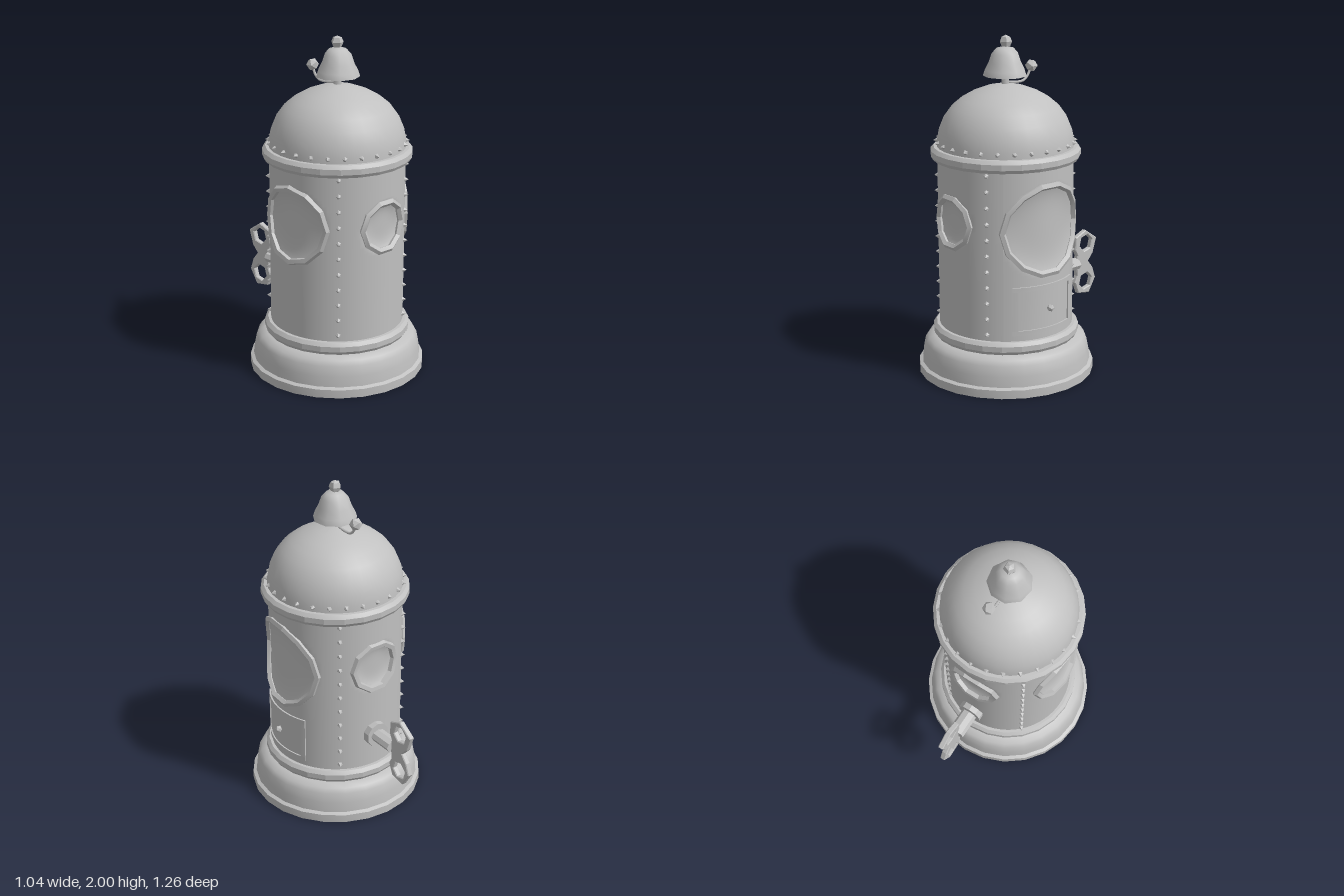
import * as THREE from 'three';
import { mergeGeometries, toCreasedNormals } from 'three/addons/utils/BufferGeometryUtils.js';

const R = 0.395;          // body radius
const CZ = 0.112;         // body axis in z
const metal = new THREE.MeshStandardMaterial({ color: 0xc0c0c0 });
metal.name = 'grey metal';

// angle is measured from the front (+z) towards +x
const onWall = (a, y, r) => new THREE.Vector3(r * Math.sin(a), y, r * Math.cos(a));

// round portholes: angle, height, radius, number of frame sides
const windows = [
  { name: 'frontWindowFrame', a: -0.076, y: 0.965, r: 0.147, n: 10 },
  { name: 'leftWindowFrame', a: Math.PI / 2 - 0.06, y: 0.94, r: 0.262, n: 14 },
  { name: 'rightWindowFrame', a: -Math.PI / 2, y: 0.97, r: 0.22, n: 12 },
  { name: 'backWindowFrame', a: Math.PI, y: 0.97, r: 0.147, n: 10 },
];

function lathe(points, sides, crease = 0.6) {
  const g = new THREE.LatheGeometry(points.map(p => new THREE.Vector2(...p)), sides);
  return toCreasedNormals(g, crease);
}

// wall with a shallow dish pressed in at every porthole
function wallGeometry() {
  const g = new THREE.CylinderGeometry(R, R, 1.1, 96, 64, true, 0.8);
  const p = g.attributes.position;
  for (let i = 0; i < p.count; i++) {
    const a = Math.atan2(p.getX(i), p.getZ(i)), y = p.getY(i) + 0.79;
    let r = R;
    for (const w of windows) {
      if (Math.cos(a - w.a) < 0) continue;
      const d = Math.hypot(R * Math.sin(a - w.a), y - w.y) / w.r;
      if (d < 1) r = R - 0.028 * (1 - d ** 4);
    }
    const v = onWall(a, y, r);
    p.setXYZ(i, v.x, v.y, v.z);
  }
  g.computeVertexNormals();
  return g;
}

// faceted ring that follows the curve of the wall
function frameGeometry(w) {
  const pts = [];
  for (let i = 0; i < w.n; i++) {
    const t = (i / w.n) * Math.PI * 2;
    pts.push(onWall(w.a + Math.asin(w.r * Math.cos(t) / R), w.y + w.r * Math.sin(t), R + 0.002));
  }
  const curve = new THREE.CatmullRomCurve3(pts, true);
  return toCreasedNormals(new THREE.TubeGeometry(curve, w.n, 0.021, 5, true), 0.4);
}

// small pointed rivets facing outwards
function rivetGeometry(spots) {
  const up = new THREE.Vector3(0, 1, 0);
  return mergeGeometries(spots.map(([a, y, r]) => {
    const q = new THREE.Quaternion().setFromUnitVectors(up, onWall(a, 0, 1));
    const m = new THREE.Matrix4().compose(onWall(a, y, r), q, new THREE.Vector3(1, 1, 1));
    return toCreasedNormals(new THREE.ConeGeometry(0.02, 0.03, 5), 0.3).applyMatrix4(m);
  }));
}

// bar bent around the wall
function bentBar(a0, a1, y0, y1, r0, r1) {
  const g = new THREE.BoxGeometry(1, 1, 1, 8, 1, 1);
  const p = g.attributes.position;
  for (let i = 0; i < p.count; i++) {
    const v = onWall(a0 + (a1 - a0) * (p.getX(i) + 0.5),
      y0 + (y1 - y0) * (p.getY(i) + 0.5), r0 + (r1 - r0) * (p.getZ(i) + 0.5));
    p.setXYZ(i, v.x, v.y, v.z);
  }
  return toCreasedNormals(g, 0.6);
}

// two hexagonal loops joined at a waist, drawn with u along the shaft and v up
function keyBowGeometry() {
  const s = new THREE.Shape([
    [0, -0.03], [0.005, -0.08], [-0.015, -0.12], [0.015, -0.195], [0.11, -0.21], [0.165, -0.12],
    [0.14, -0.05], [0.1, 0], [0.14, 0.045], [0.17, 0.14], [0.075, 0.205], [-0.01, 0.17],
    [-0.015, 0.09], [0.005, 0.05], [0, 0.03],
  ].map(p => new THREE.Vector2(...p)));
  for (const v of [0.122, -0.125]) {
    const hole = new THREE.Path();
    for (let i = 0; i < 6; i++) {
      const t = -i * Math.PI / 3 + 0.25;
      const x = 0.077 + 0.054 * Math.cos(t), y = v + 0.054 * Math.sin(t);
      i ? hole.lineTo(x, y) : hole.moveTo(x, y);
    }
    hole.closePath();
    s.holes.push(hole);
  }
  const g = new THREE.ExtrudeGeometry(s, {
    depth: 0.024, bevelEnabled: true, bevelSize: 0.005, bevelThickness: 0.005, bevelOffset: -0.005, bevelSegments: 1,
  });
  return g.translate(0, 0, -0.012).rotateY(Math.PI / 2);
}

export function createModel() {
  const model = new THREE.Group();
  const tower = new THREE.Group();
  tower.name = 'tower';
  tower.position.z = CZ;
  model.add(tower);
  const add = (name, g, parent = tower) => {
    const m = new THREE.Mesh(g, metal);
    m.name = name;
    parent.add(m);
    return m;
  };

  // stepped base
  add('base', lathe([[0, 0], [0.522, 0], [0.522, 0.05], [0.502, 0.06], [0.495, 0.12], [0.483, 0.18],
    [0.465, 0.208], [0.43, 0.225], [0.38, 0.235]], 24));
  add('wall', wallGeometry());

  // faceted bands below and above the wall
  const band = (y, r) => lathe([[0.38, y], [r - 0.012, y], [r, y + 0.02], [r, y + 0.052],
    [r - 0.018, y + 0.072], [0.38, y + 0.074], [0.38, y]], 24, 0.2);
  add('lowerBand', band(0.226, 0.432));
  add('upperBand', band(1.293, 0.436));

  // domed roof and its rivets
  add('dome', lathe([[0.4, 1.34], [0.396, 1.4], [0.384, 1.46], [0.355, 1.53], [0.31, 1.592], [0.255, 1.638],
    [0.19, 1.675], [0.11, 1.705], [0.05, 1.718], [0, 1.725]], 32, 1));
  add('domeRivets', rivetGeometry(Array.from({ length: 26 }, (_, i) => [i / 26 * Math.PI * 2, 1.392, 0.402])));

  // four vertical rivet seams
  const seams = [];
  for (const a of [0.56, -0.81, Math.PI - 0.58, Math.PI + 0.78])
    for (let i = 0; i < 11; i++) seams.push([a, 0.335 + i * 0.0935, R + 0.008]);
  add('seamRivets', rivetGeometry(seams));

  // porthole frames
  for (const w of windows) add(w.name, frameGeometry(w));

  // hatch with raised frame and knob on the left side
  const h0 = Math.PI / 2 - 0.64, h1 = Math.PI / 2 + 0.46, t = 0.085;
  add('hatchDoor', bentBar(h0 + t, h1 - t, 0.36, 0.6, 0.38, R + 0.002));
  add('hatchFrame', mergeGeometries([
    bentBar(h0, h1, 0.595, 0.622, 0.38, R + 0.01),
    bentBar(h0, h1, 0.335, 0.362, 0.38, R + 0.01),
    bentBar(h0, h0 + t, 0.362, 0.595, 0.38, R + 0.01),
    bentBar(h1 - t, h1, 0.362, 0.595, 0.38, R + 0.01),
  ]));
  add('hatchKnob', toCreasedNormals(new THREE.IcosahedronGeometry(0.022, 0), 0.2)).position.set(0.41, 0.477, 0.025);

  // bell with hollow underside, on a short stem
  const bell = new THREE.Group();
  bell.name = 'bell';
  tower.add(bell);
  add('bellStem', new THREE.CylinderGeometry(0.02, 0.025, 0.12, 6).translate(0, 1.75, 0), bell);
  add('bellShell', lathe([[0, 1.87], [0.065, 1.85], [0.11, 1.772], [0.128, 1.768], [0.118, 1.8], [0.095, 1.845],
    [0.078, 1.895], [0.052, 1.925], [0, 1.938]], 9, 0.9), bell);
  add('bellKnob', toCreasedNormals(new THREE.SphereGeometry(0.037, 5, 4), 0.2).translate(0, 1.963, -0.004), bell);

  // striker arm and ball
  const arm = new THREE.CatmullRomCurve3([[0, 1.735, 0], [0, 1.722, -0.06], [0, 1.725, -0.145], [0, 1.75, -0.175],
    [0.003, 1.795, -0.197]].map(p => new THREE.Vector3(...p)));
  add('strikerArm', new THREE.TubeGeometry(arm, 10, 0.008, 5), bell);
  add('strikerBall', toCreasedNormals(new THREE.IcosahedronGeometry(0.038, 0), 0.2), bell).position.set(0.004, 1.803, -0.2);

  // wind-up key at the back
  const key = new THREE.Group();
  key.name = 'windUpKey';
  key.position.set(0.01, 0.517, 0);
  model.add(key);
  add('keyCollar', toCreasedNormals(new THREE.CylinderGeometry(0.076, 0.076, 0.06, 10), 0.4)
    .rotateX(Math.PI / 2).translate(0, 0, -0.288), key);
  add('keyShaft', toCreasedNormals(new THREE.CylinderGeometry(0.05, 0.05, 0.16, 8), 0.4)
    .rotateX(Math.PI / 2).scale(1, 0.72, 1).translate(0, 0, -0.385), key);
  add('keyBow', keyBowGeometry(), key).position.z = -0.46;

  return model;
}
